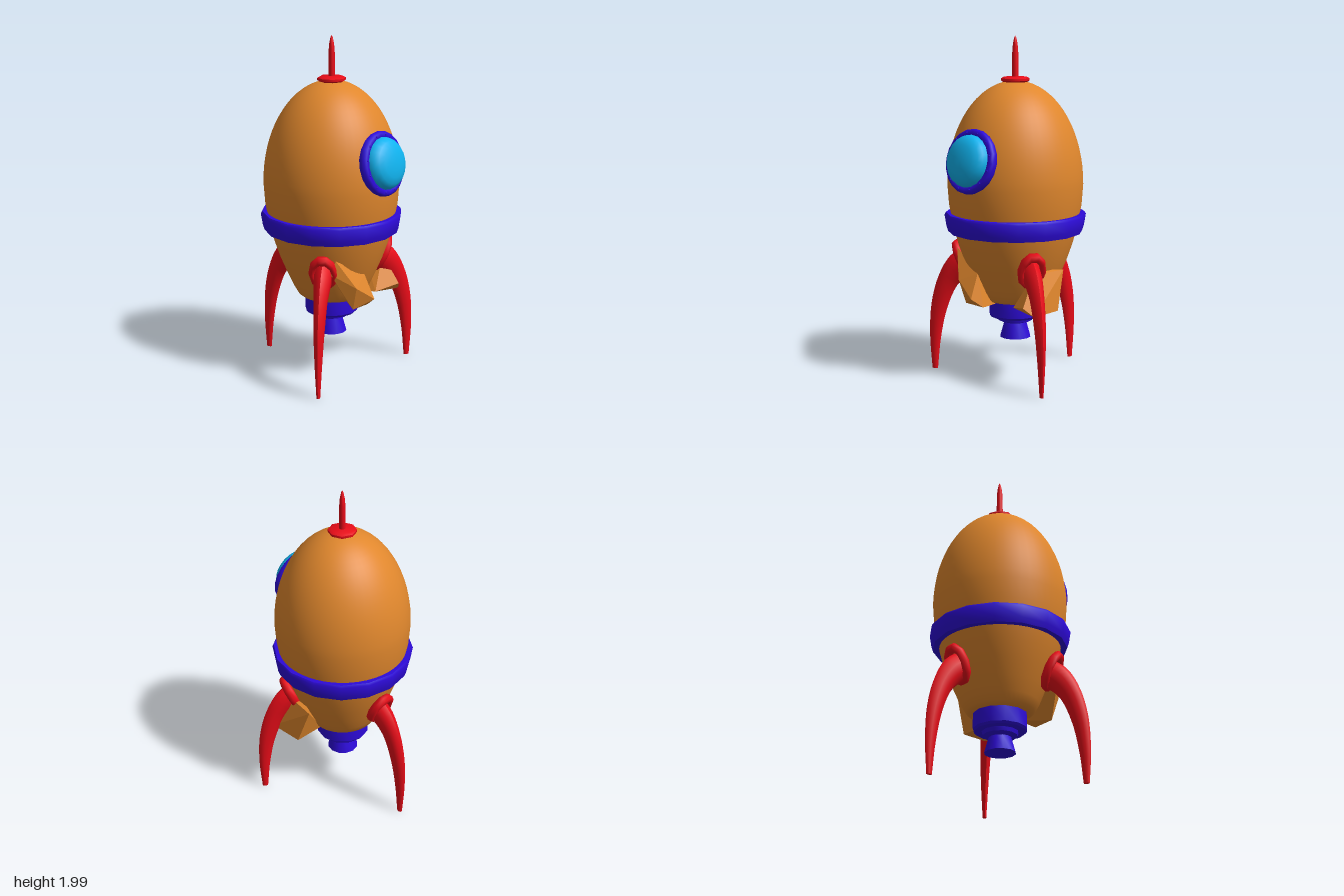
import * as THREE from 'three';
import { toCreasedNormals } from 'three/addons/utils/BufferGeometryUtils.js';
import { ConvexGeometry } from 'three/addons/geometries/ConvexGeometry.js';

const mat = (color) => new THREE.MeshStandardMaterial({ color, side: THREE.DoubleSide });
const orange = mat(0xe0872d), blue = mat(0x2d0ad8), red = mat(0xe80c18), cyan = mat(0x10b4f0);
const AXIS_Z = 0.04;

function mesh(name, geometry, material) {
  const m = new THREE.Mesh(geometry, material);
  m.name = name;
  return m;
}

// Turned part from [radius, height] pairs listed bottom to top
function turned(name, points, sides, material, crease = 0.8) {
  const geo = new THREE.LatheGeometry(points.map(([r, y]) => new THREE.Vector2(r, y)), sides);
  return mesh(name, toCreasedNormals(geo, crease), material);
}

// Angular convex block from its corners
function block(name, corners) {
  const geo = new ConvexGeometry(corners.map((c) => new THREE.Vector3(...c)));
  return mesh(name, geo, orange);
}

// Curved horn: stations are [x, y, radius], bent in the xy plane and flattened in z
function horn(stations, sides, flatten) {
  const path = new THREE.CatmullRomCurve3(stations.map(([x, y]) => new THREE.Vector3(x, y, 0)));
  const steps = 20, pos = [], index = [];
  for (let i = 0; i <= steps; i++) {
    const t = i / steps, f = t * (stations.length - 1);
    const k = Math.min(Math.floor(f), stations.length - 2);
    const r = THREE.MathUtils.lerp(stations[k][2], stations[k + 1][2], f - k);
    const p = path.getPoint(t), d = path.getTangent(t);
    for (let j = 0; j < sides; j++) {
      const a = (j / sides) * Math.PI * 2, u = Math.cos(a) * r;
      pos.push(p.x - d.y * u, p.y + d.x * u, Math.sin(a) * r * flatten);
      if (i < steps) {
        const q = i * sides + j, n = i * sides + ((j + 1) % sides);
        index.push(q, n, q + sides, n, n + sides, q + sides);
      }
    }
  }
  // Close the foot
  const last = steps * sides;
  for (let j = 1; j < sides - 1; j++) index.push(last, last + j, last + j + 1);
  const geo = new THREE.BufferGeometry();
  geo.setAttribute('position', new THREE.Float32BufferAttribute(pos, 3));
  geo.setIndex(index);
  return toCreasedNormals(geo, 0.9);
}

function createLeg(angle) {
  const leg = new THREE.Group();
  leg.name = 'landingLeg';
  leg.add(mesh('legHorn', horn([
    [0.28, 0.68, 0.09], [0.345, 0.64, 0.08], [0.413, 0.55, 0.063],
    [0.468, 0.39, 0.05], [0.493, 0.2, 0.034], [0.497, 0.006, 0.017],
  ], 10, 0.62), red));
  // Collar where the leg meets the hull
  const collar = mesh('legCollar', new THREE.TorusGeometry(0.097, 0.028, 8, 10), red);
  collar.scale.x = 0.68;
  collar.rotation.set(0.44, Math.PI / 2, 0, 'YXZ');
  collar.position.set(0.315, 0.69, 0);
  leg.add(collar);
  leg.rotation.y = -angle;
  return leg;
}

function createWindow() {
  const win = new THREE.Group();
  win.name = 'porthole';
  const frame = turned('portholeFrame', [
    [0.14, -0.03], [0.178, -0.03], [0.186, -0.012], [0.183, 0.008], [0.172, 0.018], [0.15, 0.018], [0.14, 0.008],
  ], 20, blue);
  const glass = turned('portholeGlass', [
    [0.15, -0.02], [0.149, 0.02], [0.14, 0.045], [0.12, 0.066], [0.085, 0.08], [0.045, 0.087], [0, 0.089],
  ], 20, cyan, 1);
  win.add(frame, glass);
  for (let i = 0; i < 12; i++) {
    const a = ((i + 0.5) / 12) * Math.PI * 2;
    const rivet = mesh('rivet', new THREE.SphereGeometry(0.006, 6, 4), blue);
    rivet.position.set(Math.cos(a) * 0.163, 0.018, Math.sin(a) * 0.163);
    win.add(rivet);
  }
  win.rotation.x = Math.PI / 2 - 0.22;
  win.position.set(0, 1.31, 0.41 - AXIS_Z);
  return win;
}

export function createModel() {
  const model = new THREE.Group();
  model.name = 'rocket';
  const rocket = new THREE.Group();
  rocket.name = 'rocketBody';
  rocket.position.z = AXIS_Z;
  model.add(rocket);

  // Egg-shaped hull: tapered below, elliptical above
  const lower = [[0, 0.465], [0.175, 0.465], [0.195, 0.48], [0.225, 0.53], [0.262, 0.61], [0.3, 0.7], [0.335, 0.8], [0.362, 0.9], [0.386, 1.03]];
  const upper = [];
  for (let i = 0; i <= 18; i++) {
    const a = (i / 18) * Math.PI / 2;
    upper.push([0.395 * Math.cos(a), 1.15 + 0.595 * Math.sin(a)]);
  }
  rocket.add(turned('hull', [...lower, ...upper], 48, orange));

  // Belt
  rocket.add(turned('belt', [
    [0.34, 0.87], [0.392, 0.87], [0.402, 0.9], [0.413, 0.968], [0.405, 0.982], [0.37, 0.982],
  ], 16, blue));

  // Antenna
  rocket.add(turned('antennaBase', [
    [0, 1.73], [0.066, 1.734], [0.082, 1.744], [0.082, 1.757], [0.066, 1.766], [0, 1.768],
  ], 8, red));
  rocket.add(turned('antenna', [
    [0.019, 1.75], [0.018, 1.9], [0.014, 1.95], [0.007, 1.985], [0, 2],
  ], 10, red));

  // Engine
  rocket.add(turned('engine', [
    [0, 0.235], [0.091, 0.235], [0.066, 0.325], [0.082, 0.33], [0.1, 0.337], [0.106, 0.36],
    [0.147, 0.362], [0.157, 0.375], [0.157, 0.47], [0, 0.47],
  ], 12, blue, 0.6));

  rocket.add(createWindow());
  for (const degrees of [30, 150, 270]) rocket.add(createLeg(THREE.MathUtils.degToRad(degrees)));

  // Angular fins beside the two front legs
  model.add(block('frontFin', [
    [-0.25, 0.77, 0.27], [-0.27, 0.69, 0.25], [-0.04, 0.65, 0.315], [-0.03, 0.51, 0.38],
    [0, 0.455, 0.31], [-0.14, 0.46, 0.31], [-0.02, 0.455, 0.16], [-0.16, 0.6, 0.35],
  ]));
  model.add(block('sideFin', [
    [0.325, 0.675, -0.015], [0.28, 0.68, 0.06], [0.33, 0.59, 0.14], [0.35, 0.45, 0.06],
    [0.36, 0.45, 0.27], [0.31, 0.5, 0.31], [0.16, 0.45, 0.06], [0.17, 0.47, 0.24], [0.29, 0.67, 0.2],
  ]));
  return model;
}
